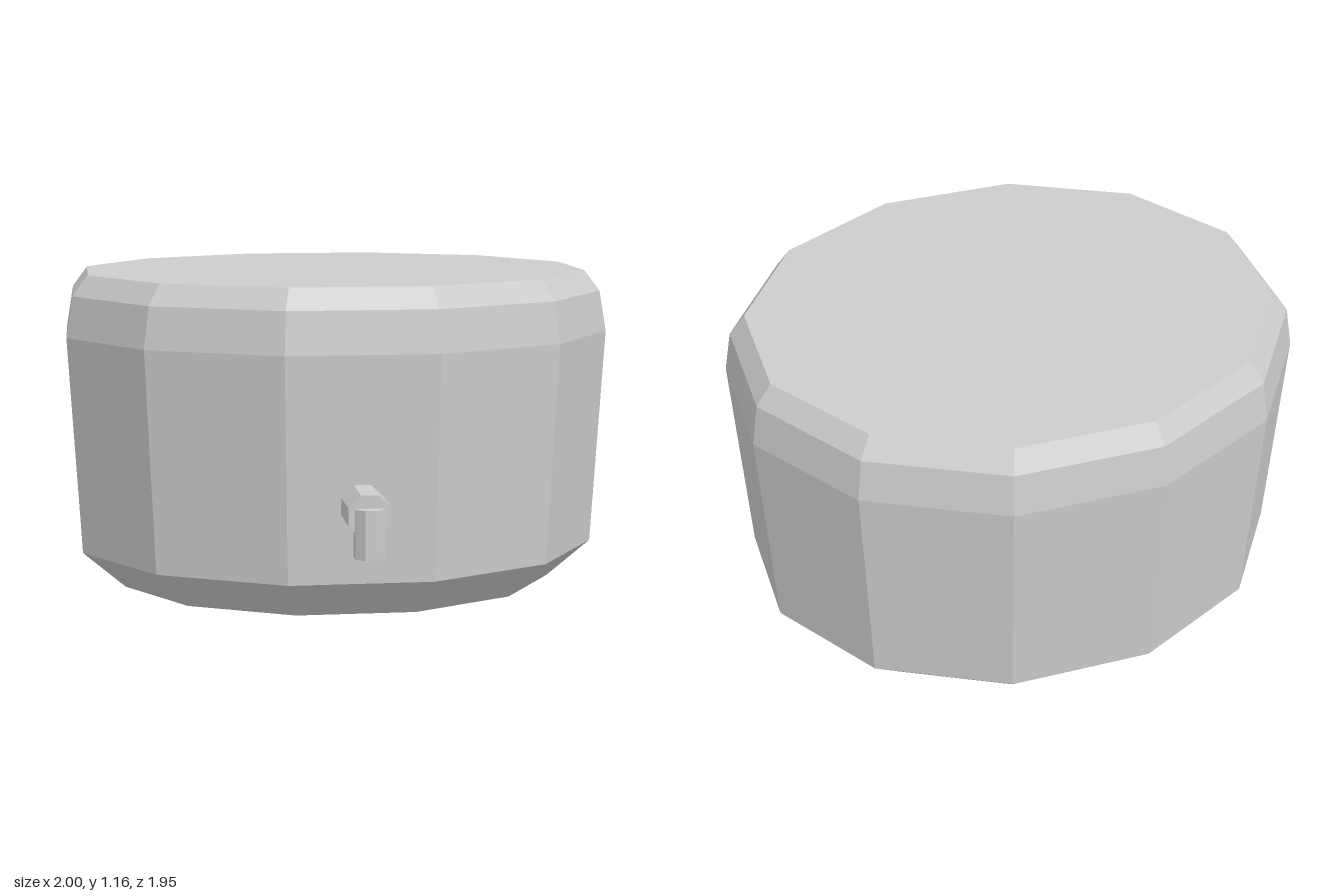
import * as THREE from 'three';

// Faceted prism with flat sides facing the axes; "flat" is half the distance across flats
function prism(flat, length, sides, material, name) {
  const r = flat / Math.cos(Math.PI / sides);
  const geometry = new THREE.CylinderGeometry(r, r, length, sides, 1, false, Math.PI / sides);
  const mesh = new THREE.Mesh(geometry, material);
  mesh.name = name;
  return mesh;
}

export function createModel() {
  const model = new THREE.Group();
  model.name = 'waterTank';
  const grey = new THREE.MeshStandardMaterial({ color: 0xcccccc, flatShading: true });
  grey.name = 'lightGrey';

  // Twelve-sided tank: half width and height, from the base up to the lid
  const sides = 12;
  const profile = [[0, 0], [0.8, 0], [0.955, 0.14], [1, 0.94], [0.975, 1.09], [0.92, 1.165], [0, 1.165]]
    .map(([w, y]) => new THREE.Vector2(w / Math.cos(Math.PI / sides), y));
  const tankGeometry = new THREE.LatheGeometry(profile, sides, Math.PI / sides);
  tankGeometry.scale(1, 1, 0.872);
  tankGeometry.translate(0, 0, -0.103);
  const tank = new THREE.Mesh(tankGeometry, grey);
  tank.name = 'tank';
  model.add(tank);

  // Horizontal outlet pipe, starting inside the wall
  const pipe = prism(0.073, 0.235, 8, grey, 'outletPipe');
  pipe.rotation.x = Math.PI / 2;
  pipe.position.set(0, 0.417, 0.817);
  model.add(pipe);

  // Downward nozzle at the end of the pipe
  const nozzle = prism(0.051, 0.17, 8, grey, 'nozzle');
  nozzle.position.set(0, 0.36, 0.924);
  model.add(nozzle);

  return model;
}
